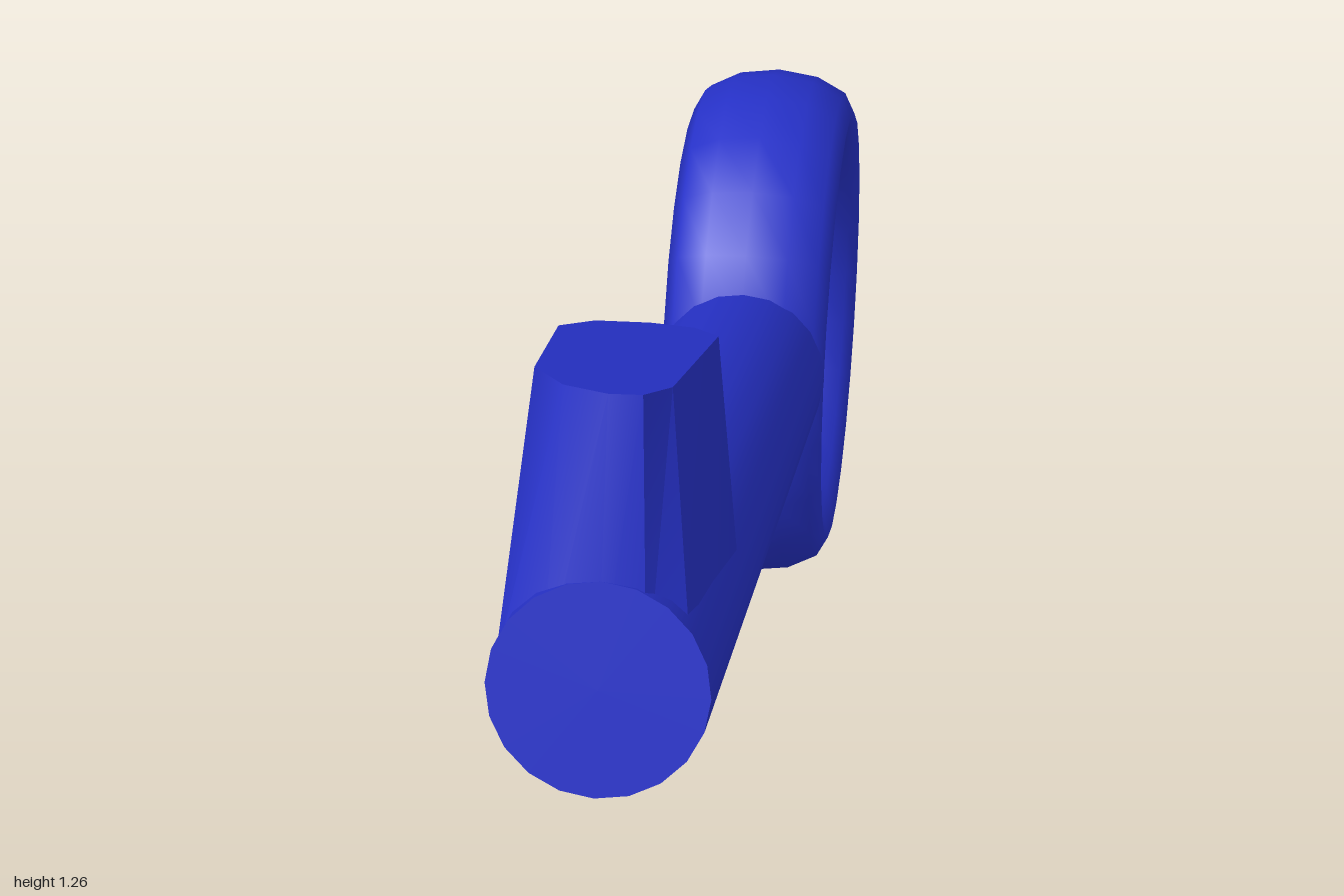
import * as THREE from 'three';
import { toCreasedNormals } from 'three/addons/utils/BufferGeometryUtils.js';

// Loft between two outlines of [x, z] points at heights y0 and y1, closed with caps
function loft(lower, upper, y0, y1) {
  const n = lower.length;
  const pos = [], idx = [];
  lower.forEach(([x, z]) => pos.push(x, y0, z));
  upper.forEach(([x, z]) => pos.push(x, y1, z));
  for (let i = 0; i < n; i++) {
    const j = (i + 1) % n;
    idx.push(i, j, n + j, i, n + j, n + i);
    if (i > 0 && i < n - 1) idx.push(n, n + i, n + i + 1, 0, i + 1, i);
  }
  const g = new THREE.BufferGeometry();
  g.setAttribute('position', new THREE.Float32BufferAttribute(pos, 3));
  g.setIndex(idx);
  return toCreasedNormals(g, 0.8);
}

export function createModel() {
  const model = new THREE.Group();
  model.name = 'key';
  const blue = new THREE.MeshStandardMaterial({ color: 0x2631c8 });
  blue.name = 'blue';

  const add = (parent, name, geometry) => {
    const mesh = new THREE.Mesh(geometry, blue);
    mesh.name = name;
    parent.add(mesh);
    return mesh;
  };

  // Ring handle: a wide oval band
  const ringGeometry = new THREE.TorusGeometry(0.324, 0.059, 12, 24);
  ringGeometry.rotateY(Math.PI / 2);
  ringGeometry.scale(1.95, 1, 0.93);
  add(model, 'ringHandle', ringGeometry).position.set(0, 0.388, -0.643);

  // Tilted blade: origin at the centre of the front end, shaft running back along -z
  const blade = new THREE.Group();
  blade.name = 'blade';
  blade.position.set(0, 0.97, 0.96);
  blade.rotation.x = -THREE.MathUtils.degToRad(20);
  model.add(blade);

  const length = 1.37;
  const shaftGeometry = new THREE.CylinderGeometry(0.118, 0.118, length, 20);
  shaftGeometry.rotateX(Math.PI / 2);
  add(blade, 'shaft', shaftGeometry).position.z = -length / 2;

  // Tapered bit standing on the front of the shaft
  const lower = [
    [-0.114, -0.03], [-0.06, -0.004], [0, 0], [0.05, -0.004], [0.095, -0.03],
    [0.108, -0.37], [0.06, -0.405], [0, -0.412], [-0.06, -0.405], [-0.114, -0.37],
  ];
  const upper = [
    [-0.09, -0.09], [-0.05, -0.025], [0, 0], [0.035, -0.005], [0.06, -0.045],
    [0.08, -0.28], [0.05, -0.312], [0, -0.322], [-0.06, -0.315], [-0.095, -0.28],
  ];
  add(blade, 'bit', loft(lower, upper, 0, 0.316));

  return model;
}
